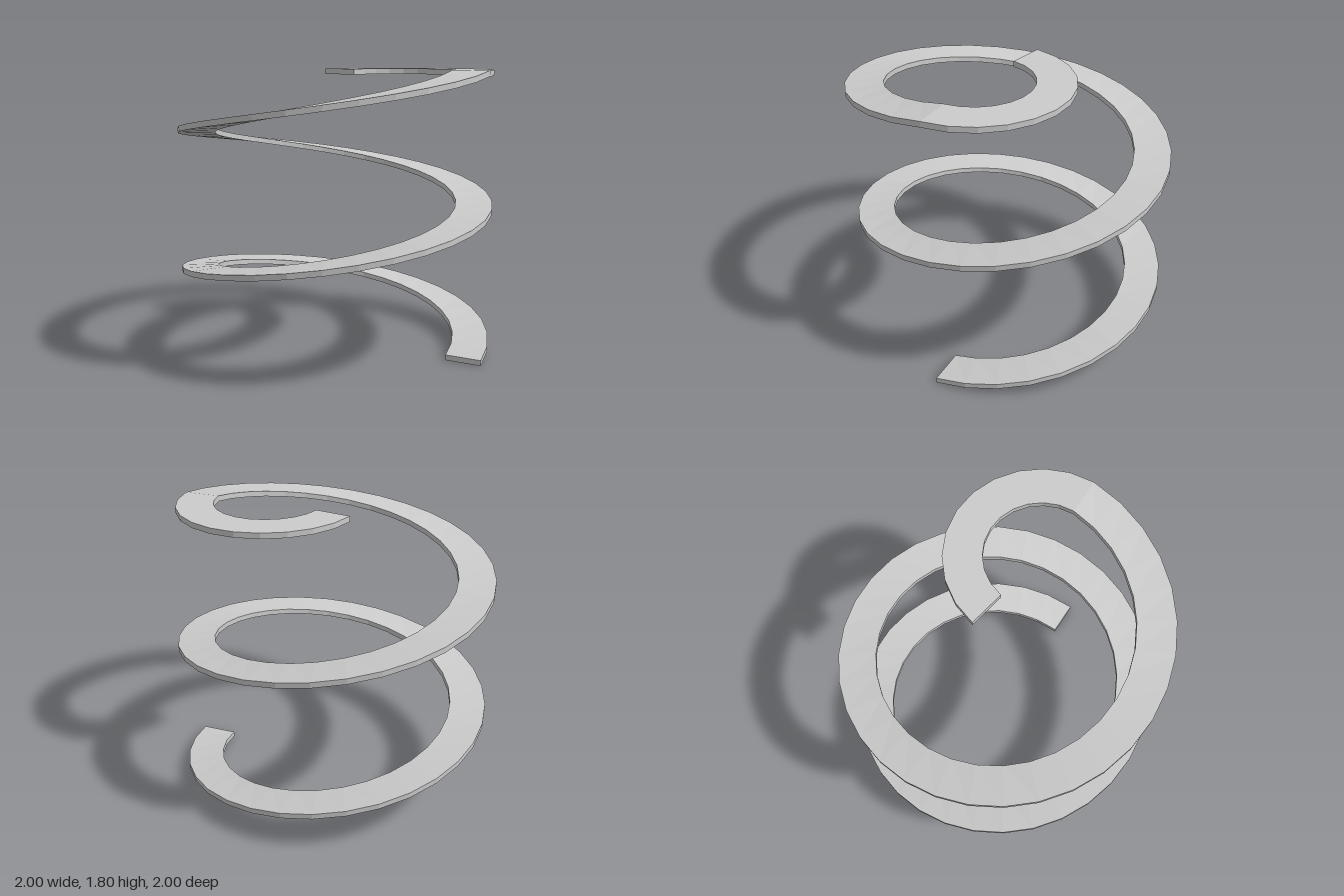
import * as THREE from 'three';

const THICK = 0.035;
const material = new THREE.MeshStandardMaterial({ color: 0xcccccc, flatShading: true });

// One rectangular cross-section, standing radially at an angle around a vertical axis
function section(centreX, inner, outer, angle, y, thick) {
  const c = Math.cos(angle), s = -Math.sin(angle);
  return [[inner, y], [outer, y], [outer, y + thick], [inner, y + thick]]
    .map(([r, h]) => [centreX + r * c, h, r * s]);
}

// Skin a run of four-cornered sections and close both ends
function loft(sections) {
  const index = [];
  for (let i = 0; i < sections.length - 1; i++) {
    for (let k = 0; k < 4; k++) {
      const a = i * 4 + k, b = i * 4 + (k + 1) % 4;
      index.push(a, a + 4, b, b, a + 4, b + 4);
    }
  }
  const e = (sections.length - 1) * 4;
  index.push(0, 1, 2, 0, 2, 3, e, e + 2, e + 1, e, e + 3, e + 2);
  const geometry = new THREE.BufferGeometry();
  geometry.setAttribute('position', new THREE.Float32BufferAttribute(sections.flat(2), 3));
  geometry.setIndex(index);
  const flat = geometry.toNonIndexed();
  flat.computeVertexNormals();
  return flat;
}

export function createModel() {
  const group = new THREE.Group();
  group.name = 'spiralSpring';
  const sections = [];

  // Two rising turns of flat strip, 32 steps per turn
  const turns = 2, steps = 32, rise = 1.77;
  for (let i = 0; i <= turns * steps; i++) {
    const t = i / (turns * steps);
    sections.push(section(0, 0.77, 1, t * turns * Math.PI * 2, t * rise, THICK));
  }

  // Level hook at the top, curling inwards on a smaller radius
  const hookSteps = 11, hookAngle = THREE.MathUtils.degToRad(169.5);
  for (let i = 1; i <= hookSteps; i++) {
    sections.push(section(0.43, 0.34, 0.57, (i / hookSteps) * hookAngle, rise, THICK));
  }

  const strip = new THREE.Mesh(loft(sections), material);
  strip.name = 'coiledStrip';
  group.add(strip);
  return group;
}
